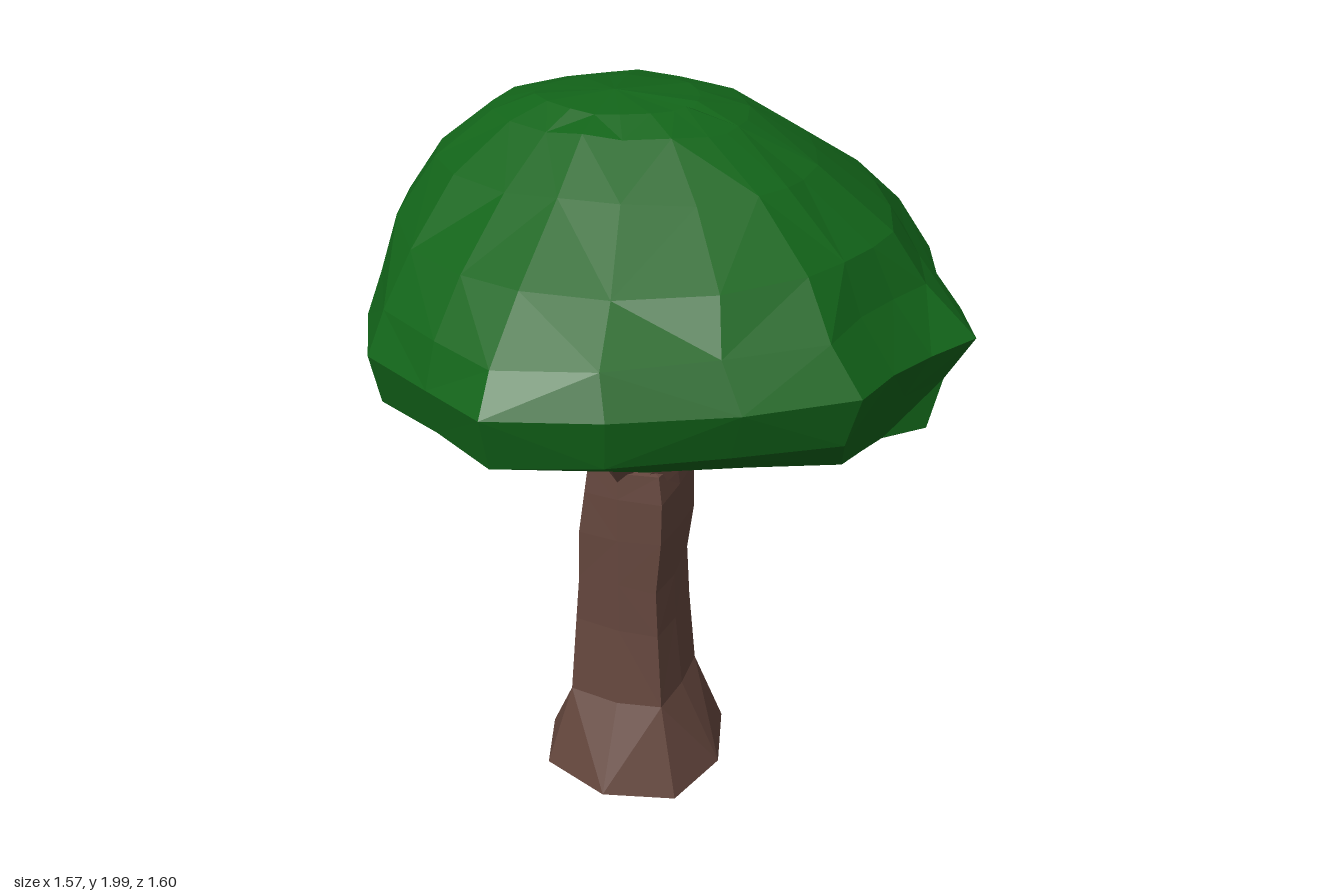
import * as THREE from 'three';

// small seeded random
function seeded(s) {
  return () => {
    s = (s * 16807) % 2147483647;
    return s / 2147483647;
  };
}

// Faceted loft: a normalised outline is stretched to each level's extents.
// level: [y, xMin, xMax, zMin, zMax, outlineStrength (0 = ellipse), frontLift]
function loft(outline, levels, cx, cz, jitter, yJitter, bottomY, topY, seed) {
  const rand = seeded(seed), n = outline.length, pos = [], idx = [];
  for (const [y, x0, x1, z0, z1, k, lift = 0] of levels) {
    for (const [u, v] of outline) {
      const s = THREE.MathUtils.lerp(1 / Math.hypot(u, v), 1, k) * (1 - jitter * rand());
      pos.push(
        cx + u * s * (u > 0 ? x1 - cx : cx - x0),
        y + yJitter * (rand() - 0.5) + lift * Math.max(0, v),
        cz + v * s * (v > 0 ? z1 - cz : cz - z0)
      );
    }
  }
  const last = (levels.length - 1) * n, bottom = levels.length * n;
  pos.push(cx, bottomY, cz, cx, topY, cz);
  for (let i = 0; i < n; i++) {
    const j = (i + 1) % n;
    idx.push(bottom, j, i, bottom + 1, last + i, last + j);
    for (let r = 0; r < last; r += n) {
      const a = r + i, b = r + j, c = b + n, d = a + n;
      if (rand() < 0.5) idx.push(a, b, c, a, c, d);
      else idx.push(a, b, d, b, c, d);
    }
  }
  const g = new THREE.BufferGeometry();
  g.setAttribute('position', new THREE.Float32BufferAttribute(pos, 3));
  g.setIndex(idx);
  const flat = g.toNonIndexed();
  flat.computeVertexNormals();
  return flat;
}

export function createModel() {
  const tree = new THREE.Group();
  tree.name = 'tree';
  const bark = new THREE.MeshStandardMaterial({ color: 0x64463d, flatShading: true });
  const leaf = new THREE.MeshStandardMaterial({ color: 0x126419, flatShading: true });
  const add = (name, geometry, material) => {
    const m = new THREE.Mesh(geometry, material);
    m.name = name;
    tree.add(m);
    return m;
  };

  // trunk: rounded square with ridges on the diagonals, round flared foot
  const c = 0.94;
  const section = [[0, 1], [c, c], [1, 0], [c, -c], [0, -1], [-c, -c], [-1, 0], [-c, c]];
  add('trunk', loft(section, [
    [0.015, -0.355, 0.185, -0.285, 0.265, 0.18],
    [0.27, -0.24, 0.065, -0.155, 0.15, 0.9],
    [0.5, -0.23, 0.045, -0.155, 0.13, 0.9],
    [0.65, -0.215, 0.04, -0.145, 0.13, 0.9],
    [0.8, -0.205, 0.055, -0.145, 0.13, 1],
    [0.93, -0.187, 0.055, -0.138, 0.125, 1],
    [1.01, -0.18, 0.047, -0.14, 0.12, 0.9]
  ], -0.08, 0, 0.02, 0.02, 0.02, 1.03, 11), bark);

  // branches from the trunk top into the crown
  const branches = [
    [[-0.08, 0.97, 0.06], [-0.08, 1.1, 0.155], 0.044],
    [[-0.03, 0.97, 0.05], [0.175, 1.21, 0.05], 0.052],
    [[-0.12, 0.97, -0.06], [-0.22, 1.21, -0.11], 0.044],
    [[-0.03, 0.97, -0.07], [0.02, 1.21, -0.12], 0.045]
  ];
  const up = new THREE.Vector3(0, 1, 0);
  for (const [from, to, r] of branches) {
    const a = new THREE.Vector3(...from), b = new THREE.Vector3(...to);
    const d = b.clone().sub(a);
    const m = add('branch', new THREE.CylinderGeometry(r * 0.95, r, d.length(), 5), bark);
    m.position.copy(a).add(b).multiplyScalar(0.5);
    m.quaternion.setFromUnitVectors(up, d.normalize());
  }

  // crown: plan outline, front to left side to back to right side
  const cx = -0.13, cz = -0.02;
  const plan = [
    [-0.11, 0.8], [0.15, 0.72], [0.4, 0.54], [0.635, 0.365], [0.665, 0.18], [0.7, 0.01],
    [0.78, -0.13], [0.71, -0.32], [0.61, -0.5], [0.535, -0.72], [0.25, -0.72], [-0.05, -0.8],
    [-0.3, -0.76], [-0.43, -0.68], [-0.58, -0.49], [-0.785, -0.2], [-0.76, 0.08],
    [-0.67, 0.33], [-0.52, 0.58], [-0.3, 0.71]
  ].map(([x, z]) => [
    (x - cx) / (x > cx ? 0.78 - cx : cx + 0.785),
    (z - cz) / (z > cz ? 0.8 - cz : cz + 0.8)
  ]);
  add('crown', loft(plan, [
    [1.145, -0.36, 0.22, -0.18, 0.12, 0.4],
    [1.11, -0.58, 0.5, -0.4, 0.22, 0.6, 0.05],
    [1.185, -0.745, 0.69, -0.58, 0.45, 1, 0.025],
    [1.32, -0.785, 0.73, -0.76, 0.77, 1, 0.04],
    [1.44, -0.785, 0.79, -0.8, 0.81, 1, 0.05],
    [1.57, -0.745, 0.67, -0.8, 0.74, 0.85, 0.02],
    [1.7, -0.695, 0.575, -0.73, 0.59, 0.5],
    [1.84, -0.605, 0.375, -0.57, 0.36, 0.1],
    [1.945, -0.46, 0.2, -0.4, 0.2, 0],
    [1.98, -0.34, 0.08, -0.24, 0.12, 0]
  ], cx, cz, 0.025, 0.015, 1.17, 2.0, 77), leaf);

  return tree;
}
